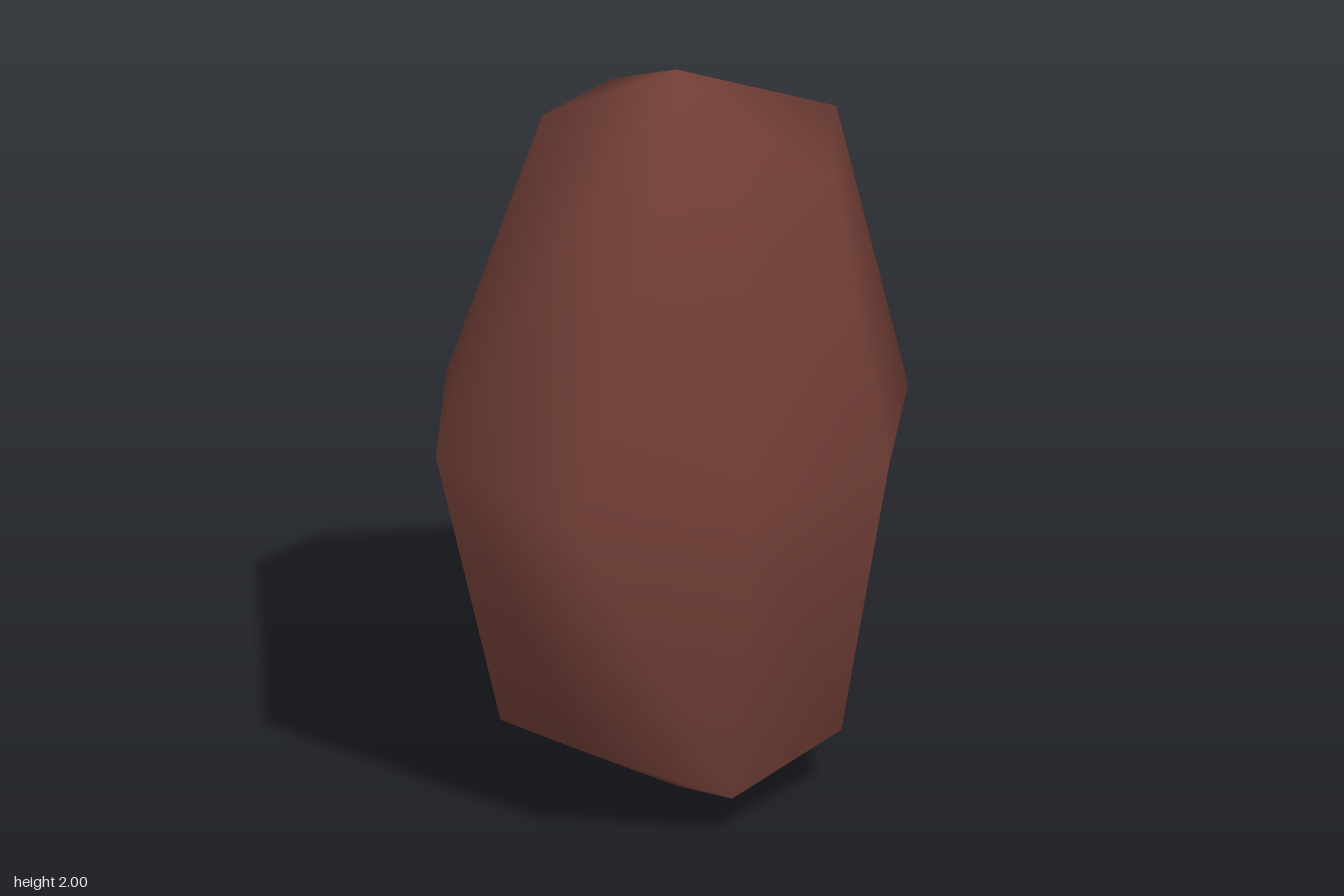
import * as THREE from 'three';

// Cross-sections from top to bottom; each has 8 [x, y, z] corners running from +x towards +z
const RINGS = [
  [[0.5, 1.78, -0.03], [0.36, 1.68, 0.22], [0.04, 1.74, 0.3], [-0.25, 1.72, 0.36],
    [-0.34, 1.6, 0.06], [-0.2, 1.78, -0.33], [0.03, 1.82, -0.38], [0.46, 1.71, -0.33]],
  [[0.7, 0.97, -0.01], [0.44, 0.93, 0.37], [0.02, 0.9, 0.415], [-0.48, 0.94, 0.36],
    [-0.71, 1.06, 0.04], [-0.46, 1.1, -0.37], [-0.06, 1.0, -0.42], [0.55, 0.985, -0.42]],
  [[0.5, 0.19, -0.02], [0.36, 0.17, 0.26], [-0.04, 0.11, 0.41], [-0.4, 0.26, 0.27],
    [-0.51, 0.28, 0.02], [-0.36, 0.28, -0.29], [0.05, 0.22, -0.38], [0.46, 0.3, -0.34]],
];
const SIDES = 8;

// Closed smooth skin: a top point, the rings and a bottom point
function stoneGeometry() {
  const points = [[0, 2, 0.03], ...RINGS.flat(), [0, 0, 0.03]];
  const last = points.length - 1;
  const at = (ring, side) => 1 + ring * SIDES + (side % SIDES);

  const index = [];
  for (let j = 0; j < SIDES; j++) {
    index.push(0, at(0, j + 1), at(0, j));
    for (let r = 0; r < RINGS.length - 1; r++) {
      index.push(at(r + 1, j), at(r, j), at(r, j + 1));
      index.push(at(r + 1, j), at(r, j + 1), at(r + 1, j + 1));
    }
    index.push(last, at(RINGS.length - 1, j), at(RINGS.length - 1, j + 1));
  }

  const geometry = new THREE.BufferGeometry();
  geometry.setAttribute('position', new THREE.Float32BufferAttribute(points.flat(), 3));
  geometry.setIndex(index);
  geometry.computeVertexNormals();
  return geometry;
}

export function createModel() {
  const group = new THREE.Group();
  group.name = 'rock';

  const stone = new THREE.MeshStandardMaterial({ color: 0x733f37 });
  stone.name = 'redBrownStone';

  // Solid stone body
  const body = new THREE.Mesh(stoneGeometry(), stone);
  body.name = 'rockBody';
  group.add(body);
  return group;
}
